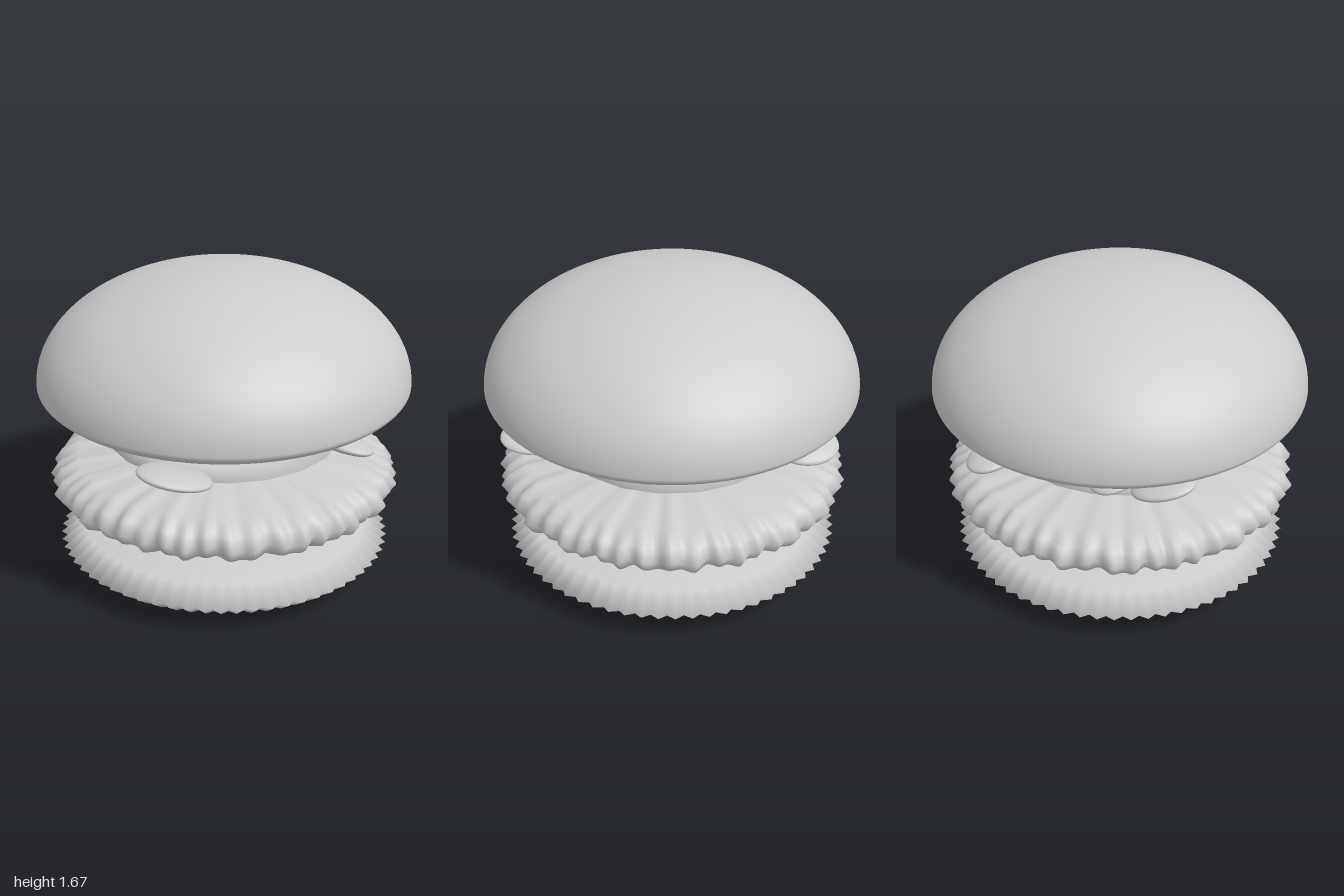
import * as THREE from 'three';
import { mergeVertices } from 'three/addons/utils/BufferGeometryUtils.js';

const grey = new THREE.MeshStandardMaterial({ color: 0xcccccc });
grey.name = 'plain grey';

// Round layer from a bottom-to-top profile; warp(angle, rim, v) adjusts each vertex
function layer(name, profile, segments, warp) {
  let geo = new THREE.LatheGeometry(profile.map(([r, y]) => new THREE.Vector2(r, y)), segments);
  if (warp) {
    const p = geo.attributes.position;
    const v = new THREE.Vector3();
    for (let i = 0; i < p.count; i++) {
      v.fromBufferAttribute(p, i);
      const step = Math.floor(i / profile.length) % segments;
      warp(step, step / segments * Math.PI * 2, Math.hypot(v.x, v.z), v);
      p.setXYZ(i, v.x, v.y, v.z);
    }
    geo.deleteAttribute('uv');
    geo.deleteAttribute('normal');
    geo = mergeVertices(geo, 1e-5);
    geo.computeVertexNormals();
  }
  const mesh = new THREE.Mesh(geo, grey);
  mesh.name = name;
  return mesh;
}

// Profile of a bun: tall half ellipse above, shallow one below
function domeProfile(radius, yMid, up, down, steps) {
  const pts = [];
  for (let i = 0; i <= steps; i++) {
    const a = -Math.PI / 2 + i / steps * Math.PI;
    const s = Math.sin(a);
    pts.push([i % steps ? radius * Math.cos(a) : 0, yMid + s * (s < 0 ? down : up)]);
  }
  return pts;
}

export function createModel() {
  const group = new THREE.Group();
  group.name = 'burger';

  // Bottom bun with sharp alternating pleats round the rim
  group.add(layer('bottomBun',
    [[0, 0], [0.4, 0.036], [0.8, 0.075], [0.91, 0.155], [0.8, 0.24], [0.4, 0.272], [0, 0.305]],
    128, (step, a, r, v) => {
      const k = step % 2 ? 0.965 : 1;
      v.x *= k;
      v.z *= k;
    }));

  // Ruffled layer with uneven waves
  group.add(layer('ruffledLayer',
    [[0, 0.34], [0.4, 0.37], [0.8, 0.41], [0.89, 0.455], [0.93, 0.52],
      [0.89, 0.585], [0.8, 0.635], [0.4, 0.668], [0, 0.70]],
    288, (step, a, r, v) => {
      const edge = (r / 0.93) ** 3;
      const wave = Math.sin(48 * a + 0.9 * Math.sin(7 * a));
      const k = 1 + edge * (0.02 * wave + 0.008 * Math.sin(19 * a));
      v.x *= k;
      v.z *= k;
      v.y += edge * 0.012 * Math.sin(24 * a + 1.3 * Math.sin(5 * a));
    }));

  // Thin slice
  group.add(layer('thinSlice',
    [[0, 0.727], [0.5, 0.732], [0.64, 0.75], [0.5, 0.765], [0, 0.77]], 20));

  // Tilted oval slices under the top bun: x, y, z, half width, half depth
  const slices = [
    [-0.69, 0.87, 0.48, 0.2, 0.185], [-0.44, 0.88, -0.46, 0.14, 0.13],
    [-0.39, 0.91, -0.72, 0.17, 0.12], [-0.12, 0.87, -0.6, 0.14, 0.19],
    [0.17, 0.91, 0.74, 0.14, 0.21], [0.17, 0.85, 0.24, 0.16, 0.16],
    [0.18, 0.86, -0.3, 0.16, 0.13], [0.34, 0.85, 0, 0.14, 0.14],
    [0.53, 0.89, 0.24, 0.14, 0.15], [0.53, 0.885, -0.6, 0.14, 0.17],
    [0.55, 0.85, -0.22, 0.11, 0.155],
  ];
  const ovals = new THREE.Group();
  ovals.name = 'ovalSlices';
  const ovalGeo = new THREE.SphereGeometry(1, 32, 16);
  for (const [x, y, z, w, d] of slices) {
    const oval = new THREE.Mesh(ovalGeo, grey);
    oval.name = 'ovalSlice';
    oval.position.set(x, y, z);
    oval.rotation.z = -0.26;
    oval.scale.set(w, 0.04, d);
    ovals.add(oval);
  }
  group.add(ovals);

  // Top bun
  group.add(layer('topBun', domeProfile(1, 1.07, 0.6, 0.18, 64), 96));
  return group;
}
